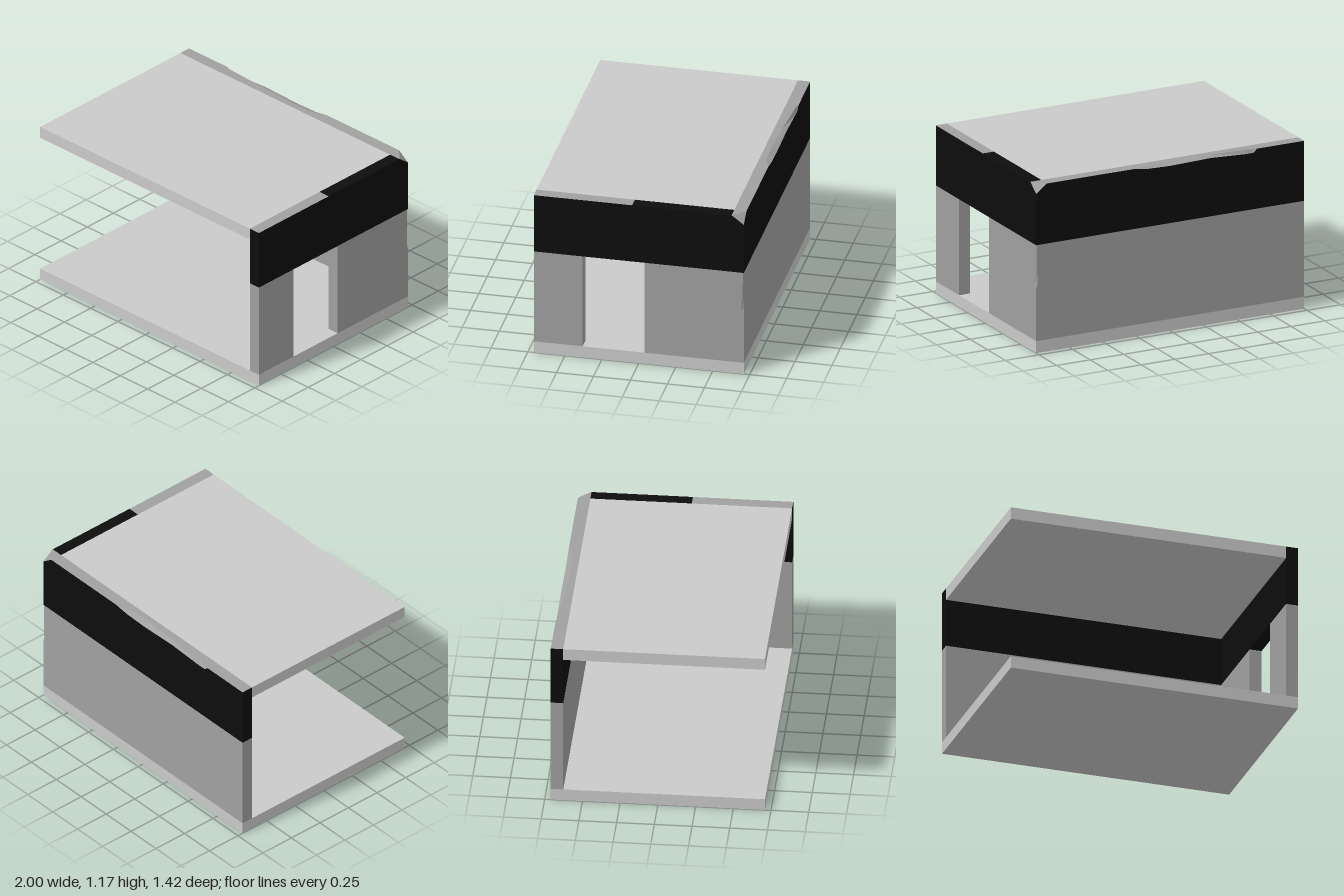
import * as THREE from 'three';

const T = 0.083;            // slab and wall thickness
const TOP = 1.167, BAND = 0.75, BACK = -0.71, FRONT = 0.71;
const INNER_X = 1 - T, INNER_Z = BACK + T;

export function createModel() {
  const mat = (name, color) => {
    const m = new THREE.MeshStandardMaterial({ color });
    m.name = name;
    return m;
  };
  const light = mat('light grey concrete', 0xcacaca);
  const grey = mat('mid grey plaster', 0xa0a0a0);
  const black = mat('black paint', 0x0d0d0d);
  const model = new THREE.Group();
  model.name = 'cutawayRoom';

  function add(name, geometry, material) {
    const mesh = new THREE.Mesh(geometry, material);
    mesh.name = name;
    model.add(mesh);
  }

  // Box given by its minimum and maximum corners
  function slab(name, [x0, y0, z0], [x1, y1, z1], material) {
    const g = new THREE.BoxGeometry(x1 - x0, y1 - y0, z1 - z0);
    g.translate((x0 + x1) / 2, (y0 + y1) / 2, (z0 + z1) / 2);
    add(name, g, material);
  }

  // Bar with one broken edge: stations are [t, cut across, cut down].
  // Group 0 is the body, group 1 the top and the broken edge.
  function chippedBar(w, h, stations, place) {
    const rings = stations.map(([t, a, b]) =>
      [[0, 0], [w, 0], [w, h], [a, h], [0, h - b]].map(([p, q]) => place(p, q, t)));
    const body = [], broken = [];
    const cap = (r, out) => { for (let i = 1; i < 4; i++) out.push(...r[0], ...r[i], ...r[i + 1]); };
    cap([...rings[0]].reverse(), body);
    cap(rings[rings.length - 1], body);
    for (let s = 0; s + 1 < rings.length; s++) {
      const r0 = rings[s], r1 = rings[s + 1];
      for (let i = 0; i < 5; i++) {
        const j = (i + 1) % 5;
        const out = i === 2 || i === 3 ? broken : body;
        out.push(...r0[i], ...r0[j], ...r1[j], ...r0[i], ...r1[j], ...r1[i]);
      }
    }
    const g = new THREE.BufferGeometry();
    g.setAttribute('position', new THREE.Float32BufferAttribute([...body, ...broken], 3));
    g.addGroup(0, body.length / 3, 0);
    g.addGroup(body.length / 3, broken.length / 3, 1);
    g.computeVertexNormals();
    return g;
  }

  // Floor and ceiling
  slab('floor', [-1, 0, BACK], [1, T, FRONT], light);
  slab('ceiling', [-1, TOP - T, INNER_Z], [INNER_X, TOP, FRONT], light);

  // Back wall, lower part, with a chipped vertical corner
  add('backWallLower', chippedBar(T, 2,
    [[T, 0, 0], [0.45, 0, 0], [0.48, 0.02, 0.01], [0.56, 0.008, 0.008], [BAND, 0.006, 0.006]],
    (p, q, t) => [q - 1, t, BACK + p]), [grey, grey]);

  // Back wall, painted band, with a crumbled top edge and a broken corner
  add('backWallBand', chippedBar(T, TOP - BAND,
    [[1, 0.08, 0.06], [0.92, 0, 0], [0.27, 0, 0], [0.16, 0.035, 0.015], [0, 0.04, 0.02],
      [-0.3, 0.03, 0.012], [-0.55, 0.015, 0.025], [-0.62, 0.012, 0.025], [-0.65, 0, 0], [-1, 0, 0]],
    (p, q, t) => [t, BAND + q, BACK + p]
  ), [black, grey]);
  // stations run towards -x, so the faces already point outwards

  // Side wall on either side of the doorway
  slab('sideWallRear', [INNER_X, T, INNER_Z], [1, BAND, -0.04], grey);
  slab('sideWallFront', [INNER_X, T, 0.38], [1, BAND, FRONT], grey);

  // Painted band above the doorway; its front half has a bare top
  slab('sideBandRear', [INNER_X, BAND, INNER_Z], [1, TOP, 0.045], black);
  slab('sideBandFront', [INNER_X, BAND, 0.045], [1, TOP, FRONT],
    [black, black, grey, black, black, black]);

  return model;
}
